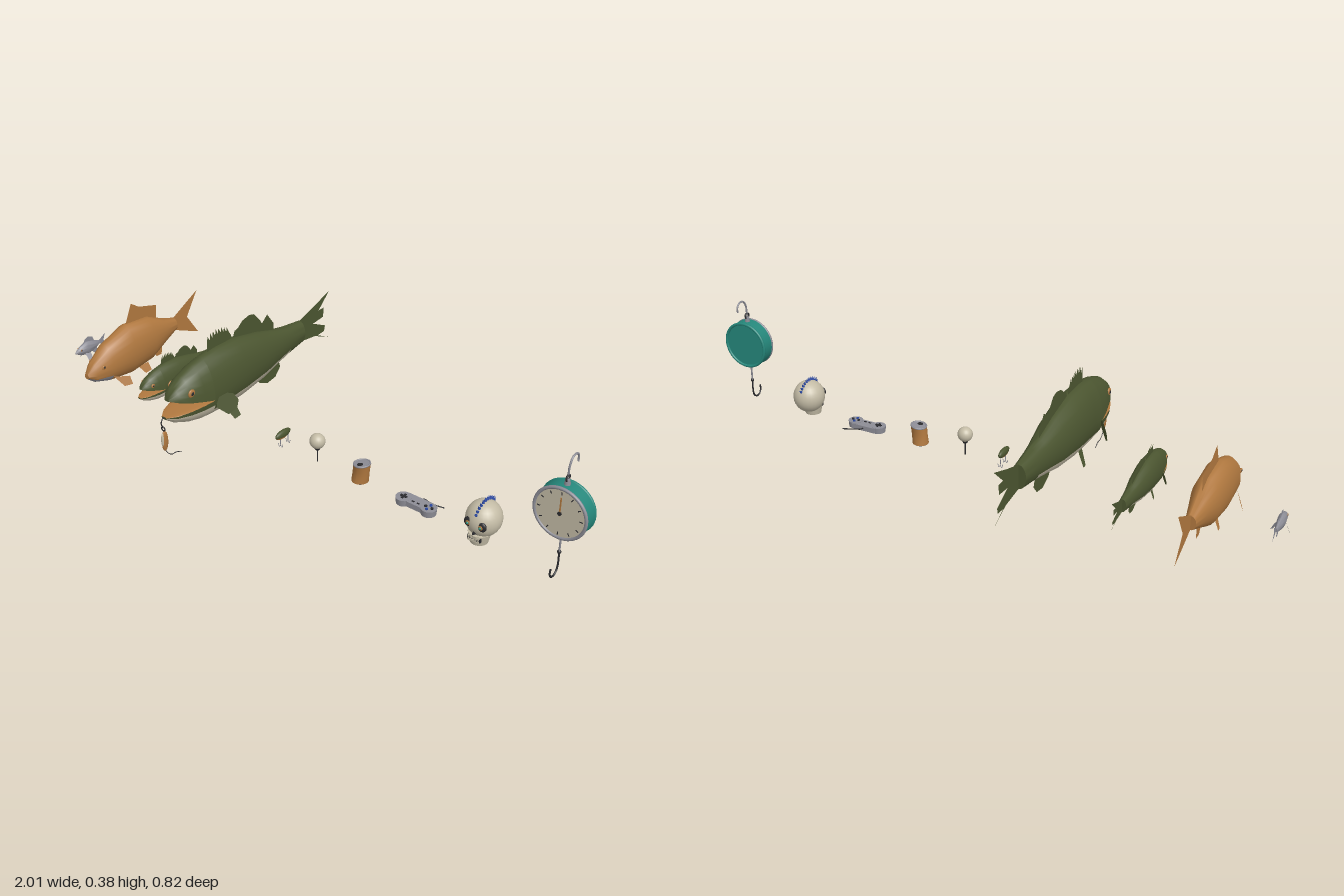
import * as THREE from 'three';
import { toCreasedNormals } from 'three/addons/utils/BufferGeometryUtils.js';

const material = (name, color) => new THREE.MeshStandardMaterial({ name, color, side: THREE.DoubleSide });

export function createModel() {
  const M = {
    green: material('olive green', 0x4b5530), orange: material('copper orange', 0xb0783f),
    cream: material('bone cream', 0xc4bca6), grey: material('steel grey', 0x8d8d96),
    dark: material('charcoal', 0x2b2b2e), teal: material('teal', 0x25877b), blue: material('blue', 0x2a48a0),
  };
  const root = new THREE.Group();
  root.name = 'fishingCollection';

  // --- helpers ---
  const group = (name, x = 0, y = 0, z = 0, parent = root) => {
    const g = new THREE.Group();
    g.name = name;
    g.position.set(x, y, z);
    parent.add(g);
    return g;
  };
  const add = (parent, name, geometry, mat, x = 0, y = 0, z = 0) => {
    const m = new THREE.Mesh(geometry, mat);
    m.name = name;
    m.position.set(x, y, z);
    parent.add(m);
    return m;
  };
  const ball = (parent, name, mat, r, x, y, z, sx = 1, sy = 1, sz = 1) => {
    const m = add(parent, name, new THREE.SphereGeometry(r, 24, 16), mat, x, y, z);
    m.scale.set(sx, sy, sz);
    return m;
  };
  const disc = (r, h, n = 32) => new THREE.CylinderGeometry(r, r, h, n).rotateX(Math.PI / 2);
  const wire = (parent, name, mat, r, pts) => add(parent, name, new THREE.TubeGeometry(
    new THREE.CatmullRomCurve3(pts.map(p => new THREE.Vector3(...p))), 32, r, 6), mat);

  // Lofted body; each section is [z, top, widest height, bottom, half width], nose first
  const loft = (parent, name, sections, mats, pick) => {
    const N = 24, pos = [], faces = mats.map(() => []);
    for (const [z, top, mid, bot, w] of sections) {
      for (let j = 0; j < N; j++) {
        const a = j / N * Math.PI * 2, s = Math.sin(a);
        pos.push(w * Math.cos(a), mid + s * (s > 0 ? top - mid : mid - bot), z);
      }
    }
    for (let i = 0; i < sections.length - 1; i++) {
      for (let j = 0; j < N; j++) {
        const a = i * N + j, b = i * N + (j + 1) % N;
        faces[pick(Math.sin((j + 0.5) / N * Math.PI * 2), i)].push(a, a + N, b, b, a + N, b + N);
      }
    }
    const last = (sections.length - 1) * N;
    for (let j = 1; j < N - 1; j++) faces[0].push(0, j, j + 1, last, last + j + 1, last + j);
    const g = new THREE.BufferGeometry();
    g.setAttribute('position', new THREE.Float32BufferAttribute(pos, 3));
    g.setIndex(faces.flat());
    let start = 0;
    faces.forEach((f, k) => { g.addGroup(start, f.length, k); start += f.length; });
    return add(parent, name, toCreasedNormals(g, 0.8), mats);
  };

  // Flat fin from [z, y] points
  const fin = (parent, name, mat, pts) => add(parent, name, new THREE.ShapeGeometry(
    new THREE.Shape(pts.map(p => new THREE.Vector2(...p)))).rotateY(-Math.PI / 2), mat);
  const finPair = (parent, name, mat, [x, y, z], yaw, roll, pts) => {
    for (const s of [1, -1]) {
      const g = group(s > 0 ? name + 'Left' : name + 'Right', s * x, y, z, parent);
      g.rotation.set(0, -s * yaw, s * roll);
      fin(g, name, mat, pts);
    }
  };
  const eyes = (parent, x, y, z, r) => {
    for (const s of [1, -1]) {
      ball(parent, 'eye', M.orange, r, s * x, y, z, 0.4, 1, 1);
      ball(parent, 'pupil', M.dark, r * 0.5, s * (x + r * 0.27), y, z, 0.4, 1, 1);
    }
  };

  // --- bass, large and small ---
  const bass = (name, x, y, z, scale) => {
    const g = group(name, x, y, z);
    g.scale.setScalar(scale);
    const gape = [0.23, 0.3, 0.168, 0.097, 0.06];
    loft(g, 'body', [gape, [0.17, 0.307, 0.185, 0.092, 0.062], [0.08, 0.305, 0.195, 0.093, 0.062],
      [-0.03, 0.28, 0.193, 0.107, 0.053], [-0.117, 0.252, 0.19, 0.127, 0.039],
      [-0.17, 0.241, 0.19, 0.138, 0.032], [-0.25, 0.23, 0.19, 0.15, 0.024]],
    [M.green, M.cream], (s, i) => s < -0.6 && i < 5 ? 1 : 0);
    loft(g, 'upperHead', [[0.38, 0.219, 0.214, 0.212, 0.01], [0.355, 0.246, 0.206, 0.204, 0.034],
      [0.32, 0.271, 0.195, 0.193, 0.048], [0.27, 0.29, 0.18, 0.178, 0.057], [0.23, 0.3, 0.168, 0.166, 0.06]],
    [M.green, M.orange], s => s < 0 ? 1 : 0);
    loft(g, 'lowerJaw', [[0.397, 0.165, 0.162, 0.156, 0.01], [0.367, 0.166, 0.163, 0.133, 0.032],
      [0.32, 0.168, 0.165, 0.113, 0.048], [0.27, 0.17, 0.167, 0.101, 0.057], [0.23, 0.17, 0.168, 0.097, 0.06]],
    [M.green, M.orange, M.cream], s => s > 0 ? 1 : s < -0.35 ? 2 : 0);
    const spines = [[0.2, 0.29]];
    for (let k = 0; k < 8; k++) {
      const h = 0.366 - 0.0009 * (k - 3) ** 2;
      spines.push([0.192 - k * 0.0125, h], [0.183 - k * 0.0125, h - 0.02]);
    }
    fin(g, 'spinyDorsalFin', M.green, [...spines, [0.088, 0.32], [0.084, 0.29]]);
    fin(g, 'softDorsalFin', M.green, [[0.085, 0.29], [0.07, 0.325], [0.055, 0.328], [0.033, 0.346], [0, 0.353],
      [-0.022, 0.347], [-0.05, 0.315], [-0.06, 0.298], [-0.086, 0.32], [-0.117, 0.276], [-0.114, 0.24], [-0.03, 0.27]]);
    fin(g, 'tailFin', M.green, [[-0.245, 0.23], [-0.32, 0.252], [-0.408, 0.283], [-0.35, 0.229], [-0.378, 0.229],
      [-0.374, 0.195], [-0.32, 0.19], [-0.385, 0.157], [-0.38, 0.137], [-0.345, 0.135], [-0.408, 0.102], [-0.33, 0.138], [-0.245, 0.15]]);
    fin(g, 'analFin', M.green, [[-0.02, 0.115], [-0.04, 0.085], [-0.08, 0.066], [-0.12, 0.072], [-0.145, 0.1], [-0.135, 0.14]]);
    finPair(g, 'pectoralFin', M.green, [0.058, 0.155, 0.225], 0.65, 0.2,
      [[0, 0.015], [-0.035, 0.03], [-0.055, 0.025], [-0.07, 0.003], [-0.063, -0.025], [-0.035, -0.042], [0, -0.015]]);
    finPair(g, 'pelvicFin', M.green, [0.02, 0.105, 0.16], 0.2, 0.4, [[0, 0], [-0.03, -0.06], [-0.055, -0.055], [-0.045, 0]]);
    eyes(g, 0.043, 0.226, 0.316, 0.014);
    return g;
  };
  const big = bass('largeBass', -0.3, 0, 0, 1);
  bass('smallBass', -0.56, -0.02, 0.044, 0.54);

  // Spoon lure hanging from the large bass's lip
  add(big, 'lipRing', new THREE.TorusGeometry(0.007, 0.002, 6, 16), M.dark, 0, 0.125, 0.403);
  wire(big, 'lipHook', M.dark, 0.0018, [[0, 0.13, 0.405], [0, 0.15, 0.41], [0, 0.163, 0.4], [0, 0.155, 0.39]]);
  ball(big, 'spoon', M.orange, 0.036, 0, 0.08, 0.4, 0.18, 1, 0.36);
  ball(big, 'spoonFront', M.cream, 0.025, 0, 0.085, 0.408, 0.2, 1, 0.25);
  wire(big, 'trailingLine', M.dark, 0.0013, [[0, 0.045, 0.4], [0, 0.03, 0.39], [0, 0.018, 0.375], [0, 0.016, 0.355], [0, 0.005, 0.333]]);

  // --- carp ---
  const carp = group('carp', -0.78);
  loft(carp, 'body', [[0.285, 0.09, 0.078, 0.07, 0.01], [0.26, 0.12, 0.078, 0.05, 0.027], [0.2, 0.165, 0.09, 0.03, 0.044],
    [0.1, 0.2, 0.105, 0.016, 0.05], [0, 0.19, 0.11, 0.028, 0.046], [-0.07, 0.155, 0.11, 0.06, 0.03], [-0.13, 0.132, 0.108, 0.086, 0.017]],
  [M.orange, M.grey], (s, i) => s < -0.6 && i < 2 ? 1 : 0);
  fin(carp, 'dorsalFin', M.orange, [[0.1, 0.19], [0.065, 0.265], [0.03, 0.24], [-0.05, 0.215], [-0.045, 0.155]]);
  fin(carp, 'tailFin', M.orange, [[-0.125, 0.132], [-0.18, 0.16], [-0.25, 0.195], [-0.195, 0.11], [-0.247, 0.03], [-0.18, 0.06], [-0.125, 0.086]]);
  fin(carp, 'analFin', M.orange, [[-0.02, 0.05], [-0.035, 0.018], [-0.06, 0.018], [-0.068, 0.07]]);
  finPair(carp, 'pectoralFin', M.orange, [0.038, 0.055, 0.2], 0.4, 0.35, [[0, 0], [-0.03, -0.04], [-0.06, -0.04], [-0.055, -0.01]]);
  finPair(carp, 'pelvicFin', M.orange, [0.02, 0.03, 0.07], 0.2, 0.4, [[0, 0], [-0.02, -0.03], [-0.045, -0.025], [-0.04, 0.005]]);
  eyes(carp, 0.033, 0.105, 0.235, 0.008);

  // --- little grey fish ---
  const fry = group('littleFish', -0.98);
  loft(fry, 'body', [[0.16, 0.046, 0.043, 0.04, 0.003], [0.14, 0.06, 0.043, 0.028, 0.01], [0.11, 0.07, 0.044, 0.02, 0.013],
    [0.08, 0.062, 0.044, 0.026, 0.01], [0.05, 0.05, 0.044, 0.038, 0.004]], [M.grey], () => 0);
  fin(fry, 'dorsalFin', M.grey, [[0.125, 0.062], [0.115, 0.08], [0.1, 0.085], [0.08, 0.078], [0.07, 0.055]]);
  fin(fry, 'tailFin', M.grey, [[0.052, 0.05], [0.02, 0.068], [0.03, 0.044], [0.02, 0.02], [0.052, 0.038]]);
  fin(fry, 'analFin', M.grey, [[0.09, 0.028], [0.078, 0.012], [0.062, 0.012], [0.062, 0.035]]);
  finPair(fry, 'pectoralFin', M.grey, [0.009, 0.032, 0.125], 0.5, 0.4, [[0, 0], [-0.01, -0.03], [-0.025, -0.026], [-0.02, 0]]);
  eyes(fry, 0.009, 0.05, 0.14, 0.004);

  // --- small hard lure ---
  const lure = group('hardLure', -0.08, 0, 0.1);
  ball(lure, 'lureBody', M.green, 0.035, 0, 0.045, 0, 0.28, 0.4, 1);
  ball(lure, 'lureBelly', M.orange, 0.03, 0, 0.041, 0.002, 0.29, 0.4, 1);
  for (const z of [0.012, -0.024]) {
    for (const s of [1, -1]) wire(lure, 'lureHook', M.grey, 0.001, [[0, 0.035, z], [0, 0.01, z], [s * 0.005, 0.001, z], [s * 0.009, 0.012, z]]);
  }

  // --- float ---
  const float = group('float', 0.06, 0, 0.1);
  ball(float, 'floatBall', M.cream, 0.025, 0, 0.075, 0);
  add(float, 'floatCollar', new THREE.CylinderGeometry(0.013, 0.007, 0.012, 16), M.dark, 0, 0.05, 0);
  add(float, 'floatStem', new THREE.CylinderGeometry(0.002, 0.002, 0.05, 8), M.dark, 0, 0.025, 0);

  // --- dented can ---
  const can = group('dentedCan', 0.23, 0, 0.1);
  const canGeo = new THREE.CylinderGeometry(0.027, 0.027, 0.06, 24, 6);
  const p = canGeo.attributes.position;
  for (let i = 0; i < p.count; i++) {
    const t = p.getY(i) / 0.06 + 0.5;
    p.setXYZ(i, p.getX(i) + 0.006 * (t - 0.5), p.getY(i) + 0.12 * t * p.getX(i), p.getZ(i) * (1 - 0.12 * Math.sin(t * Math.PI)));
  }
  canGeo.computeVertexNormals();
  add(can, 'canBody', canGeo, M.orange, 0, 0.033, 0);
  add(can, 'canBase', new THREE.CylinderGeometry(0.026, 0.023, 0.003, 24), M.grey, -0.003, 0.0015, 0);
  const lid = group('canLid', 0.003, 0.065, 0, can);
  lid.rotation.z = 0.12;
  add(lid, 'lidRim', new THREE.TorusGeometry(0.025, 0.003, 8, 24).rotateX(Math.PI / 2), M.grey);
  add(lid, 'lidTop', new THREE.CylinderGeometry(0.025, 0.025, 0.002, 24), M.grey);
  add(lid, 'lidOpening', new THREE.CylinderGeometry(0.009, 0.009, 0.002, 16), M.dark, 0, 0.001, 0.01);

  // --- game controller ---
  const pad = group('gameController', 0.44, 0, 0.105);
  add(pad, 'padMiddle', new THREE.BoxGeometry(0.09, 0.018, 0.042), M.grey, 0, 0.011, -0.003);
  for (const s of [1, -1]) add(pad, 'padGrip', new THREE.CylinderGeometry(0.025, 0.023, 0.021, 24), M.grey, s * 0.045, 0.0105, 0.003);
  for (const [w, d] of [[0.022, 0.007], [0.007, 0.022]]) add(pad, 'directionPad', new THREE.BoxGeometry(w, 0.004, d), M.dark, -0.045, 0.022, 0.003);
  for (let k = 0; k < 4; k++) {
    const a = k * Math.PI / 2;
    add(pad, 'button', new THREE.CylinderGeometry(0.0045, 0.0045, 0.005, 12), k % 2 ? M.blue : M.dark,
      0.045 + 0.011 * Math.cos(a), 0.022, 0.003 + 0.011 * Math.sin(a));
  }
  for (const s of [1, -1]) add(pad, 'menuButton', new THREE.BoxGeometry(0.009, 0.003, 0.004), M.dark, s * 0.009, 0.0205, 0.006);
  wire(pad, 'cable', M.dark, 0.002, [[0, 0.012, -0.022], [0.003, 0.012, -0.034], [0.025, 0.008, -0.034], [0.045, 0.005, -0.038], [0.068, 0.003, -0.045]]);

  // --- skull with crest ---
  const skull = group('crestedSkull', 0.67, 0, 0.105);
  ball(skull, 'cranium', M.cream, 0.056, 0, 0.071, 0, 0.95, 1, 1);
  add(skull, 'jaw', new THREE.CylinderGeometry(0.034, 0.027, 0.034, 20), M.cream, 0, 0.018, 0.019);
  for (const s of [1, -1]) {
    ball(skull, 'eyeSocket', M.dark, 0.016, s * 0.021, 0.073, 0.046, 1, 1, 0.5);
    ball(skull, 'eyeRing', M.orange, 0.009, s * 0.021, 0.073, 0.05, 1, 1, 0.6);
    ball(skull, 'eyeGlint', M.teal, 0.004, s * 0.021, 0.073, 0.055);
  }
  add(skull, 'nose', new THREE.ConeGeometry(0.008, 0.016, 3), M.dark, 0, 0.05, 0.051);
  add(skull, 'mouth', new THREE.BoxGeometry(0.044, 0.012, 0.008), M.dark, 0, 0.024, 0.046);
  for (let k = -2; k <= 2; k++) {
    for (const y of [0.029, 0.019]) add(skull, 'tooth', new THREE.BoxGeometry(0.006, 0.007, 0.006), M.cream, k * 0.008, y, 0.049);
  }
  for (let k = 0; k < 11; k++) {
    const a = -0.95 + k * 0.19;
    const spike = add(skull, 'crestSpike', new THREE.ConeGeometry(0.008, 0.022, 6), M.blue, 0, 0.071 + 0.058 * Math.cos(a), 0.058 * Math.sin(a));
    spike.rotation.x = a;
  }

  // --- hanging scale ---
  const scale = group('hangingScale', 0.915, 0.215, 0.112);
  add(scale, 'housing', disc(0.081, 0.044, 48), M.teal);
  for (const z of [0.023, -0.022]) add(scale, 'housingRim', new THREE.TorusGeometry(0.078, 0.005, 10, 48), z > 0 ? M.grey : M.teal, 0, 0, z);
  add(scale, 'dial', disc(0.074, 0.006, 48), M.cream, 0, 0, 0.021);
  for (let k = 0; k < 12; k++) {
    const tick = group('tick', 0, 0, 0.0245, scale);
    tick.rotation.z = k * Math.PI / 6;
    add(tick, 'tickMark', new THREE.BoxGeometry(0.0025, 0.009, 0.002), M.dark, 0, 0.064, 0);
  }
  add(scale, 'needle', new THREE.BoxGeometry(0.004, 0.058, 0.002), M.orange, 0, 0.022, 0.0255);
  add(scale, 'needleHub', disc(0.006, 0.004, 16), M.dark, 0, 0, 0.0255);
  add(scale, 'topStud', new THREE.CylinderGeometry(0.007, 0.009, 0.016, 12), M.grey, 0, 0.089, 0);
  add(scale, 'topRing', new THREE.TorusGeometry(0.009, 0.003, 8, 20).rotateY(Math.PI / 2), M.dark, 0, 0.102, 0);
  wire(scale, 'topHook', M.grey, 0.0032, [[0, 0.108, 0], [0, 0.138, -0.002], [0, 0.158, -0.014], [0, 0.162, -0.026],
    [0, 0.158, -0.04], [0, 0.145, -0.049], [0, 0.13, -0.048]]);
  add(scale, 'bottomRod', new THREE.CylinderGeometry(0.003, 0.003, 0.062, 8), M.grey, 0, -0.11, 0);
  ball(scale, 'bottomSwivel', M.dark, 0.006, 0, -0.142, 0);
  wire(scale, 'bottomHook', M.dark, 0.003, [[0, -0.142, 0], [0, -0.19, 0], [0, -0.206, 0.008], [0, -0.212, 0.022],
    [0, -0.206, 0.036], [0, -0.192, 0.042], [0, -0.178, 0.04]]);

  return root;
}
